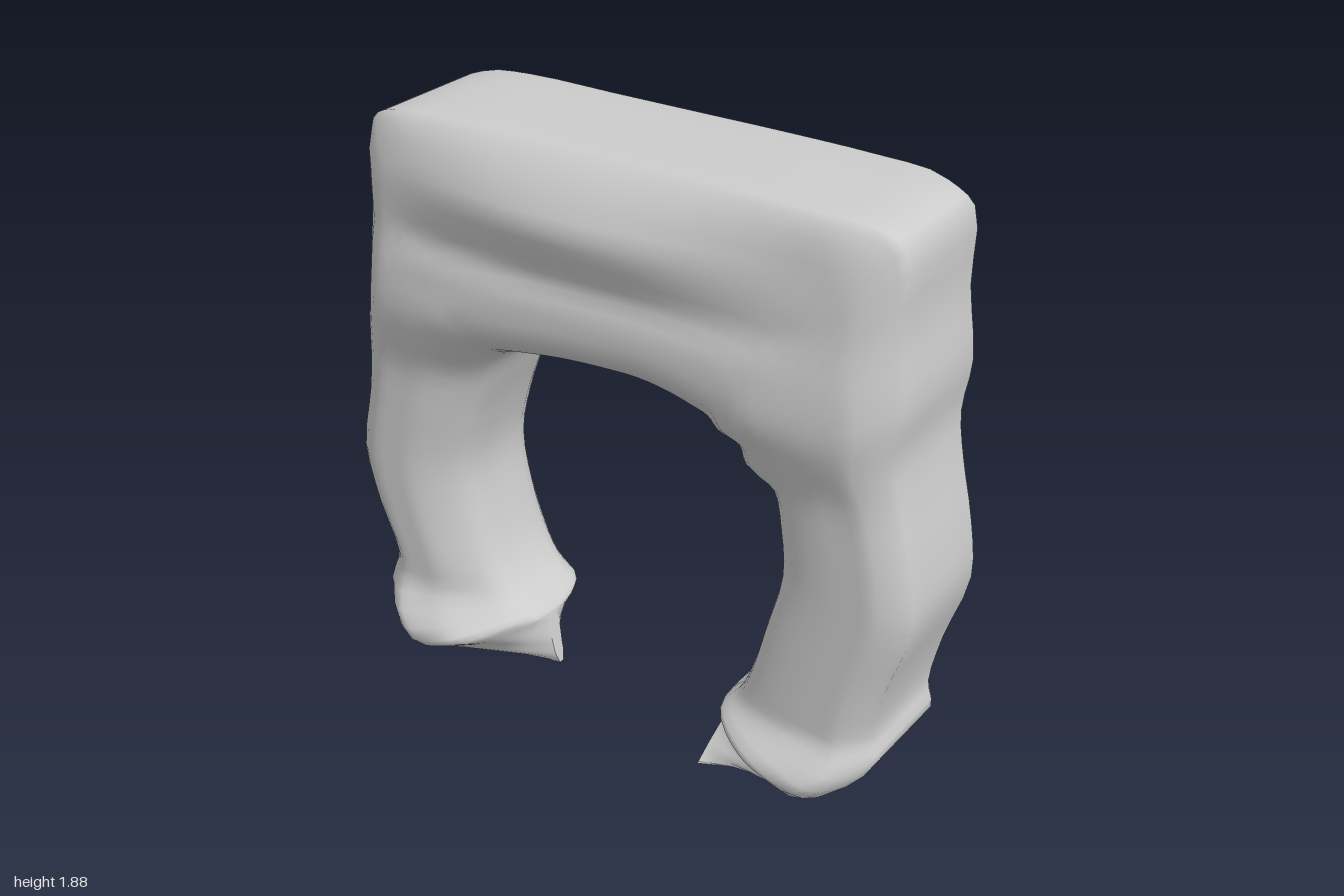
import * as THREE from 'three';

const { lerp, smoothstep } = THREE.MathUtils;

// Smooth interpolation through [key, value] pairs with rising keys
function profile(pairs, k) {
  if (k <= pairs[0][0]) return pairs[0][1];
  for (let i = 1; i < pairs.length; i++) {
    const [k0, v0] = pairs[i - 1], [k1, v1] = pairs[i];
    if (k <= k1) return lerp(v0, v1, smoothstep(k, k0, k1));
  }
  return pairs[pairs.length - 1][1];
}

// Stations along the arch, +x foot to -x foot: outer x, y, inner x, y
const stations = [
  [0.34, 0, 0.34, 0.17], [0.62, 0.035, 0.345, 0.18], [0.79, 0.075, 0.38, 0.215],
  [0.91, 0.20, 0.42, 0.26], [0.89, 0.28, 0.46, 0.35], [0.92, 0.44, 0.51, 0.53],
  [0.995, 0.68, 0.56, 0.73], [0.98, 0.86, 0.55, 0.88], [0.94, 1.05, 0.52, 1.00],
  [0.92, 1.20, 0.43, 1.05], [0.94, 1.36, 0.42, 1.12], [0.915, 1.58, 0.36, 1.14],
  [0.91, 1.81, 0.335, 1.18], [0.82, 1.86, 0.29, 1.20], [0.60, 1.875, 0.22, 1.225],
  [0.30, 1.88, 0.13, 1.24], [0, 1.88, 0, 1.235], [-0.30, 1.88, -0.14, 1.22],
  [-0.60, 1.88, -0.26, 1.195], [-0.78, 1.86, -0.34, 1.175], [-0.87, 1.81, -0.39, 1.16],
  [-0.88, 1.56, -0.43, 1.14], [-0.90, 1.32, -0.47, 1.09], [-0.94, 1.10, -0.51, 1.00],
  [-0.96, 0.90, -0.56, 0.87], [-1.00, 0.68, -0.60, 0.69], [-0.96, 0.50, -0.57, 0.50],
  [-0.89, 0.32, -0.52, 0.35], [-0.925, 0.20, -0.46, 0.26], [-0.77, 0.07, -0.40, 0.21],
  [-0.62, 0.035, -0.37, 0.185], [-0.33, 0, -0.365, 0.17],
];

// Depth of the legs, and of the swellings added in mid span, by height
const frontLeg = [[0, 0.2], [0.05, 0.31], [0.12, 0.325], [0.26, 0.235], [1.0, 0.24], [1.25, 0.26], [1.88, 0.25]];
const upperSwell = [[1.46, 0], [1.7, 0.105], [1.82, 0.05], [1.88, 0]];
const lowerSwell = [[1.0, 0], [1.3, 0.065], [1.42, 0.055], [1.53, 0.02], [1.75, 0]];
const backLeg = [[0, 0.04], [0.04, 0.13], [0.18, 0.27], [1.1, 0.275], [1.4, 0.29], [1.88, 0.285]];
const backSwell = [[1.2, 0], [1.45, 0.02], [1.63, 0.065], [1.8, 0.01], [1.88, 0]];

// Half cross-section from outer edge to inner edge: across 0..1, share of depth
const half = [[0, 0.4], [0, 0.84], [0.03, 0.93], [0.1, 0.99], [0.18, 1]];
for (let i = 1; i <= 9; i++) half.push([0.18 + i * 0.06, 1]);
half.push([0.8, 0.985], [0.88, 0.94], [0.95, 0.83], [0.99, 0.64], [1, 0.3]);
const ring = [...half, ...half.slice().reverse().map(([t, s]) => [t, -s])];

function depth(x, y, t, s) {
  // The legs thin towards their inner edge, and the ends and feet towards the outer one
  const thin = x > 0 && s > 0 ? 0.1 : 0.26;
  const inner = 1 - thin * (1 - smoothstep(y, 1.0, 1.3)) * smoothstep(t, 0.5, 1);
  const ends = lerp(0.28, 0.15, smoothstep(y, 0.1, 0.4)) * smoothstep(Math.abs(x), 0.7, 0.9);
  const share = s * inner * (1 - ends * (1 - smoothstep(t, 0, 0.25)));
  const centre = 0.5 + 0.5 * Math.cos(Math.PI * Math.min(1, Math.abs(x + 0.1) / 0.95));
  const wide = 1 - Math.min(1, Math.abs(x) / 0.97) ** 4;
  return share * (s > 0
    ? profile(frontLeg, y) + centre * profile(upperSwell, y) + wide * profile(lowerSwell, y)
    : profile(backLeg, y) + centre * profile(backSwell, y));
}

// Draws the foot tips together into a narrow ridge, slanting on the left foot
function pinch(x, y, z, fromEnd) {
  const ridge = x > 0 ? lerp(0.25, -0.1, Math.min(1, y / 0.17)) : 0.03;
  return lerp(ridge, z, lerp(0.1, 1, Math.min(1, fromEnd / 1.8) ** 0.85));
}

function archGeometry() {
  const curve = (k) => new THREE.CatmullRomCurve3(
    stations.map((p) => new THREE.Vector3(p[k], p[k + 1], 0)), false, 'centripetal');
  const outer = curve(0), inner = curve(2);
  const steps = (stations.length - 1) * 3, n = ring.length;
  const pos = [], index = [];
  for (let i = 0; i <= steps; i++) {
    const a = outer.getPoint(i / steps), b = inner.getPoint(i / steps);
    const fromEnd = Math.min(i, steps - i) / 3;
    for (const [t, s] of ring) {
      const p = a.clone().lerp(b, t);
      pos.push(p.x, p.y, pinch(p.x, p.y, depth(p.x, p.y, t, s), fromEnd));
    }
  }
  for (let i = 0; i < steps; i++) {
    for (let j = 0; j < n; j++) {
      const a = i * n + j, b = i * n + (j + 1) % n;
      index.push(a, a + n, b, b, a + n, b + n);
    }
  }
  // Narrow flat faces closing the two foot tips
  for (const end of [0, steps]) {
    const first = pos.length / 3, c = [0, 0, 0];
    for (let j = 0; j < n; j++) {
      for (let k = 0; k < 3; k++) {
        const v = pos[(end * n + j) * 3 + k];
        pos.push(v);
        c[k] += v / n;
      }
    }
    pos.push(...c);
    for (let j = 0; j < n; j++) {
      const p = first + j, q = first + (j + 1) % n;
      index.push(first + n, end ? q : p, end ? p : q);
    }
  }
  const g = new THREE.BufferGeometry();
  g.setAttribute('position', new THREE.Float32BufferAttribute(pos, 3));
  g.setIndex(index);
  g.computeVertexNormals();
  return g;
}

export function createModel() {
  const group = new THREE.Group();
  group.name = 'archedForm';
  const arch = new THREE.Mesh(archGeometry(), new THREE.MeshStandardMaterial({ color: 0xcccccc }));
  arch.name = 'archWithLegs';
  group.add(arch);
  return group;
}
